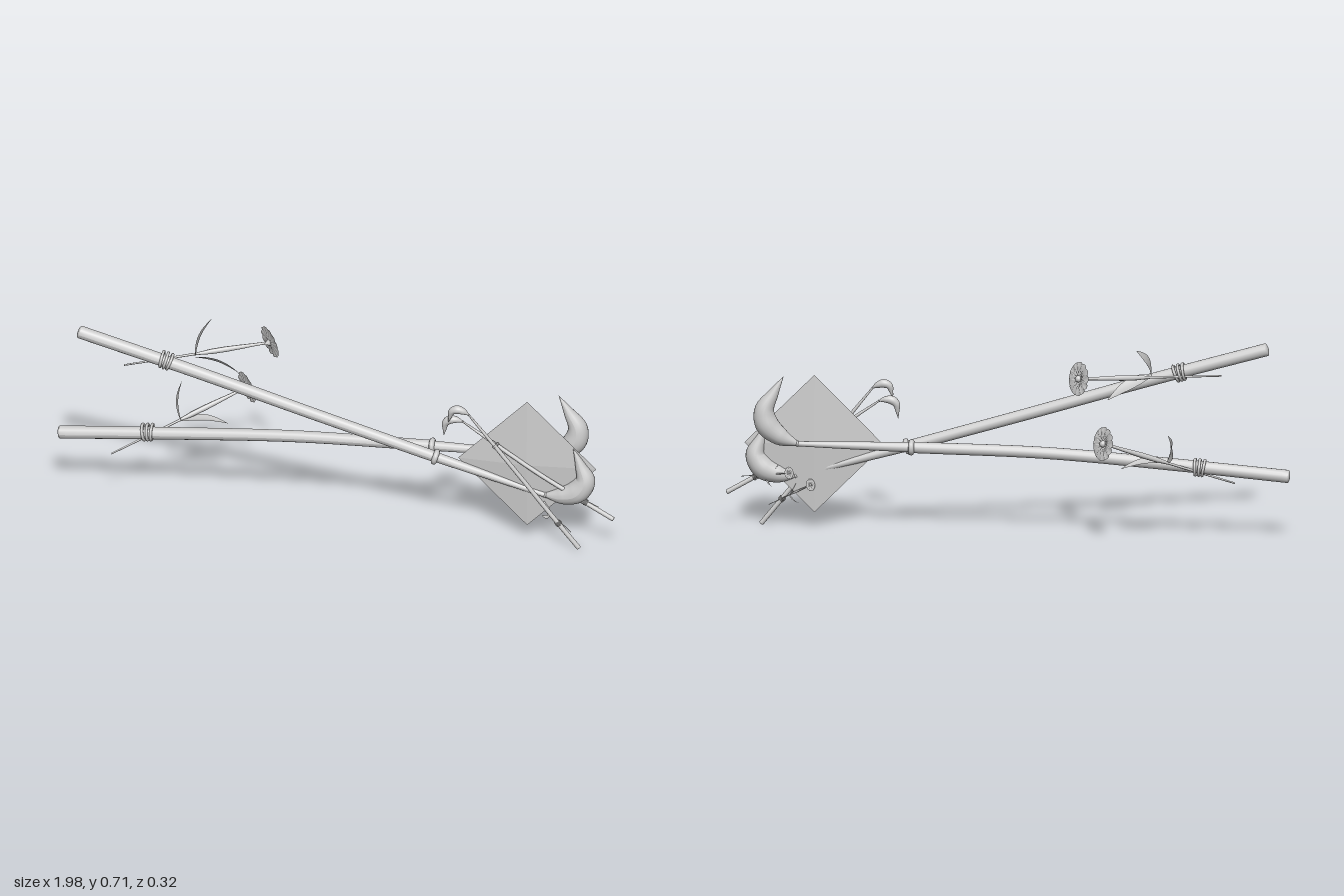
import * as THREE from 'three';

const grey = new THREE.MeshStandardMaterial({ color: 0xcccccc });
const thin = new THREE.MeshStandardMaterial({ color: 0xcccccc, side: THREE.DoubleSide });
const V = (p) => new THREE.Vector3(...p);

function add(group, name, geometry, material = grey) {
  const mesh = new THREE.Mesh(geometry, material);
  mesh.name = name;
  group.add(mesh);
  return mesh;
}

// Tube whose radius follows one value per path point
function taperedTube(points, radii, steps = 40, sides = 16) {
  const path = new THREE.CatmullRomCurve3(points.map(V));
  const size = new THREE.CatmullRomCurve3(radii.map((r) => new THREE.Vector3(r, 0, 0)));
  const geo = new THREE.TubeGeometry(path, steps, 1, sides);
  const pos = geo.attributes.position;
  const v = new THREE.Vector3();
  for (let i = 0; i <= steps; i++) {
    const centre = path.getPointAt(i / steps);
    const r = Math.max(0, size.getPoint(path.getUtoTmapping(i / steps)).x);
    for (let j = 0; j <= sides; j++) {
      const k = i * (sides + 1) + j;
      v.fromBufferAttribute(pos, k).sub(centre).multiplyScalar(r).add(centre);
      pos.setXYZ(k, v.x, v.y, v.z);
    }
  }
  geo.computeVertexNormals();
  return geo;
}

// Folded leaf blade from root to tip, spread along side
function leafGeometry(root, tip, side, width, bow) {
  const geo = new THREE.PlaneGeometry(1, 1, 4, 12);
  const a = V(root), along = V(tip).sub(a);
  const s = V(side).normalize();
  const n = new THREE.Vector3().crossVectors(s, along).normalize();
  const pos = geo.attributes.position;
  for (let i = 0; i < pos.count; i++) {
    const u = pos.getX(i), t = pos.getY(i) + 0.5;
    const w = width * Math.pow(Math.sin(Math.PI * Math.pow(t, 0.8)), 0.9) || 0;
    const p = a.clone().addScaledVector(along, t).addScaledVector(s, u * w)
      .addScaledVector(n, bow * Math.sin(Math.PI * t) + Math.abs(u) * w * 0.25);
    pos.setXYZ(i, p.x, p.y, p.z);
  }
  geo.computeVertexNormals();
  return geo;
}

// Daisy head opening towards local +z
function makeFlower() {
  const flower = new THREE.Group();
  flower.name = 'flower';
  const count = 13;
  for (let k = 0; k < count; k++) {
    const geo = new THREE.PlaneGeometry(1, 1, 4, 6);
    const pos = geo.attributes.position;
    for (let i = 0; i < pos.count; i++) {
      const u = pos.getX(i), t = pos.getY(i) + 0.5;
      const w = 0.006 + 0.021 * Math.sin(Math.min(1, t * 1.15) * Math.PI * 0.6);
      const r = 0.006 + 0.054 * t - 0.014 * u * u * t;
      pos.setXYZ(i, u * w, r, 0.016 * t - 0.012 * t * t + u * u * 0.012);
    }
    geo.computeVertexNormals();
    add(flower, 'petal', geo, thin).rotation.z = (k / count) * Math.PI * 2;
  }
  add(flower, 'flowerCentre', new THREE.SphereGeometry(0.012, 14, 10)).position.z = 0.006;
  const cup = add(flower, 'flowerCup', new THREE.ConeGeometry(0.014, 0.025, 10));
  cup.rotation.x = -Math.PI / 2;
  cup.position.z = -0.008;
  return flower;
}

// Brush with handle, collar, ferrule, curled bristles and a tied flower
function makeBrush(name, b) {
  const g = new THREE.Group();
  g.name = name;
  const last = b.handle.length - 1;
  const path = new THREE.CatmullRomCurve3(b.handle.map(V));
  const handle = taperedTube(b.handle, b.handle.map((_, i) => 0.023 - 0.003 * i / last), 60);
  add(g, 'handle', handle);

  // Rounded handle ends and collar
  const z = new THREE.Vector3(0, 0, 1);
  const startDir = path.getTangentAt(0), endDir = path.getTangentAt(1);
  const cap = add(g, 'handleEnd', new THREE.SphereGeometry(0.023, 16, 10));
  cap.position.copy(V(b.handle[0]));
  cap.scale.z = 0.35;
  cap.quaternion.setFromUnitVectors(z, startDir);
  const collar = add(g, 'collar', new THREE.TorusGeometry(0.02, 0.009, 8, 20));
  collar.position.copy(V(b.handle[last]));
  collar.scale.z = 1.1;
  collar.quaternion.setFromUnitVectors(z, endDir);

  // Ferrule, neck and bristles
  const base = b.bristles[0];
  const mid = V(b.handle[last]).lerp(V(base), 0.5).toArray();
  add(g, 'ferrule', taperedTube([b.handle[last], mid, base], [0.018, 0.014, 0.009], 16));
  const neck = add(g, 'neck', new THREE.TorusGeometry(0.008, 0.004, 6, 14));
  neck.position.copy(V(base));
  neck.quaternion.setFromUnitVectors(z, endDir);
  add(g, 'bristles', taperedTube(b.bristles, [0.008, 0.032, 0.041, 0.035, 0.019, 0], 36, 20));

  // Cord tied round handle and stem
  for (let i = -1; i <= 1; i++) {
    const at = b.tie + i * 0.011;
    const ring = add(g, 'cord', new THREE.TorusGeometry(0.028, 0.0055, 6, 18));
    ring.position.copy(path.getPointAt(at));
    ring.position.z -= 0.006;
    ring.quaternion.setFromUnitVectors(z, path.getTangentAt(at));
    ring.rotateX(i * 0.1);
  }

  // Stem, leaves and flower
  const [tail, head] = b.stem;
  const middle = V(tail).lerp(V(head), 0.5).toArray();
  add(g, 'stem', taperedTube([tail, middle, head], [0.003, 0.0045, 0.0045], 10, 8));
  for (const l of b.leaves) add(g, 'leaf', leafGeometry(...l), thin);
  const flower = makeFlower();
  flower.position.copy(V(head));
  flower.quaternion.setFromUnitVectors(z, new THREE.Vector3(0.77, 0.2, -0.6).normalize());
  g.add(flower);
  return g;
}

function makePair(name) {
  const pair = new THREE.Group();
  pair.name = name;
  pair.add(makeBrush('frontBrush', {
    handle: [[-0.91, 0.69, 0.117], [-0.5, 0.57, 0.117], [-0.08, 0.44, 0.117], [0.35, 0.31, 0.117]],
    bristles: [[0.74, 0.195, 0.119], [0.80, 0.2, 0.119], [0.855, 0.222, 0.119],
      [0.882, 0.268, 0.119], [0.865, 0.325, 0.119], [0.838, 0.395, 0.119]],
    tie: 0.24,
    stem: [[-0.75, 0.585, 0.14], [-0.27, 0.615, -0.05]],
    leaves: [
      [[-0.51, 0.598, 0.066], [-0.465, 0.712, -0.016], [0.1, 0.55, 0.8], 0.055, 0.012],
      [[-0.51, 0.598, 0.066], [-0.36, 0.52, 0.02], [0.2, 0.5, 0.85], 0.055, 0.012],
    ],
  }));
  pair.add(makeBrush('rearBrush', {
    handle: [[-0.99, 0.247, 0.063], [-0.6, 0.28, 0.063], [-0.15, 0.312, 0.063], [0.33, 0.322, 0.063]],
    bristles: [[0.73, 0.325, 0.065], [0.79, 0.35, 0.065], [0.837, 0.393, 0.065],
      [0.846, 0.445, 0.065], [0.815, 0.505, 0.065], [0.778, 0.57, 0.065]],
    tie: 0.235,
    stem: [[-0.8, 0.205, 0.11], [-0.36, 0.395, -0.1]],
    leaves: [
      [[-0.57, 0.303, 0.01], [-0.58, 0.42, -0.066], [0.1, 0.55, 0.8], 0.055, 0.012],
      [[-0.57, 0.303, 0.01], [-0.41, 0.285, -0.03], [0.2, 0.1, 0.95], 0.055, 0.012],
    ],
  }));
  return pair;
}

export function createModel() {
  const model = new THREE.Group();
  model.name = 'crossedBrushes';
  model.add(makePair('largeBrushes'));

  // Small copy of the brush pair, turned round
  const small = makePair('smallBrushes');
  small.scale.setScalar(0.368);
  small.rotation.z = THREE.MathUtils.degToRad(144.7);
  small.position.set(0.737, 0.412, 0.106);
  model.add(small);

  // Flat diamond panel, thickest in the middle
  const panel = new THREE.OctahedronGeometry(1);
  panel.scale(0.245, 0.249, 0.014);
  panel.computeVertexNormals();
  add(model, 'diamondPanel', panel).position.set(0.675, 0.313, 0.114);
  return model;
}
